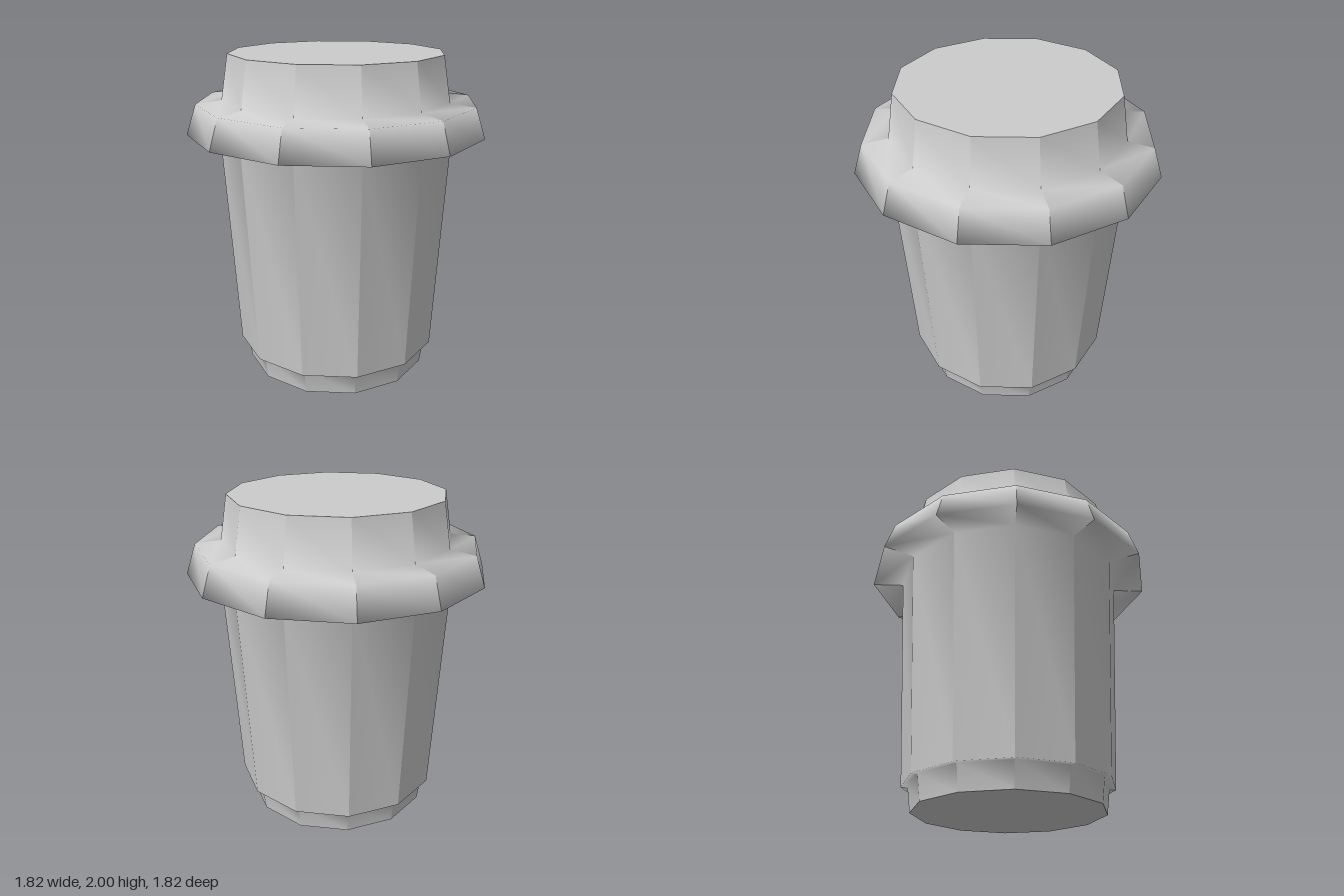
import * as THREE from 'three';
import { mergeGeometries } from 'three/addons/utils/BufferGeometryUtils.js';

const SIDES = 12;
const material = new THREE.MeshStandardMaterial({ color: 0xcccccc });

// Radius and height, from the base up to the top of the lid
const profile = [
  [0.58, 0], [0.6, 0.15], [0.64, 0.15], [0.715, 1.53],
  [0.91, 1.53], [0.85, 1.71], [0.695, 1.73], [0.65, 2],
].map(([r, y]) => new THREE.Vector2(r, y));

// Rows of the profile turned into flat-sided panels: sharp between panels, smooth up each panel
function panels(firstRow, lastRow) {
  const step = (Math.PI * 2) / SIDES;
  const list = [];
  for (let i = 0; i < SIDES; i++) {
    const panel = new THREE.LatheGeometry(profile, 1, i * step, step);
    panel.computeVertexNormals();
    panel.setIndex(Array.from(panel.index.array).slice(firstRow * 6, lastRow * 6));
    list.push(panel.toNonIndexed());
  }
  return mergeGeometries(list);
}

function addMesh(group, name, geometry) {
  const mesh = new THREE.Mesh(geometry, material);
  mesh.name = name;
  group.add(mesh);
  return mesh;
}

export function createModel() {
  const model = new THREE.Group();
  model.name = 'liddedCup';

  // Tapered cup on a recessed foot
  const cup = new THREE.Group();
  cup.name = 'cup';
  addMesh(cup, 'cupFoot', panels(0, 2));
  addMesh(cup, 'cupWall', panels(2, 3));
  addMesh(cup, 'cupBase', new THREE.CircleGeometry(0.58, SIDES).rotateX(Math.PI / 2));

  // Lid with a flared rim and a raised, flat top
  const lid = new THREE.Group();
  lid.name = 'lid';
  addMesh(lid, 'lidRim', panels(3, 6));
  addMesh(lid, 'lidCollar', panels(6, 7));
  addMesh(lid, 'lidTop', new THREE.CircleGeometry(0.65, SIDES).rotateX(-Math.PI / 2)).position.y = 2;

  model.add(cup, lid);
  return model;
}
